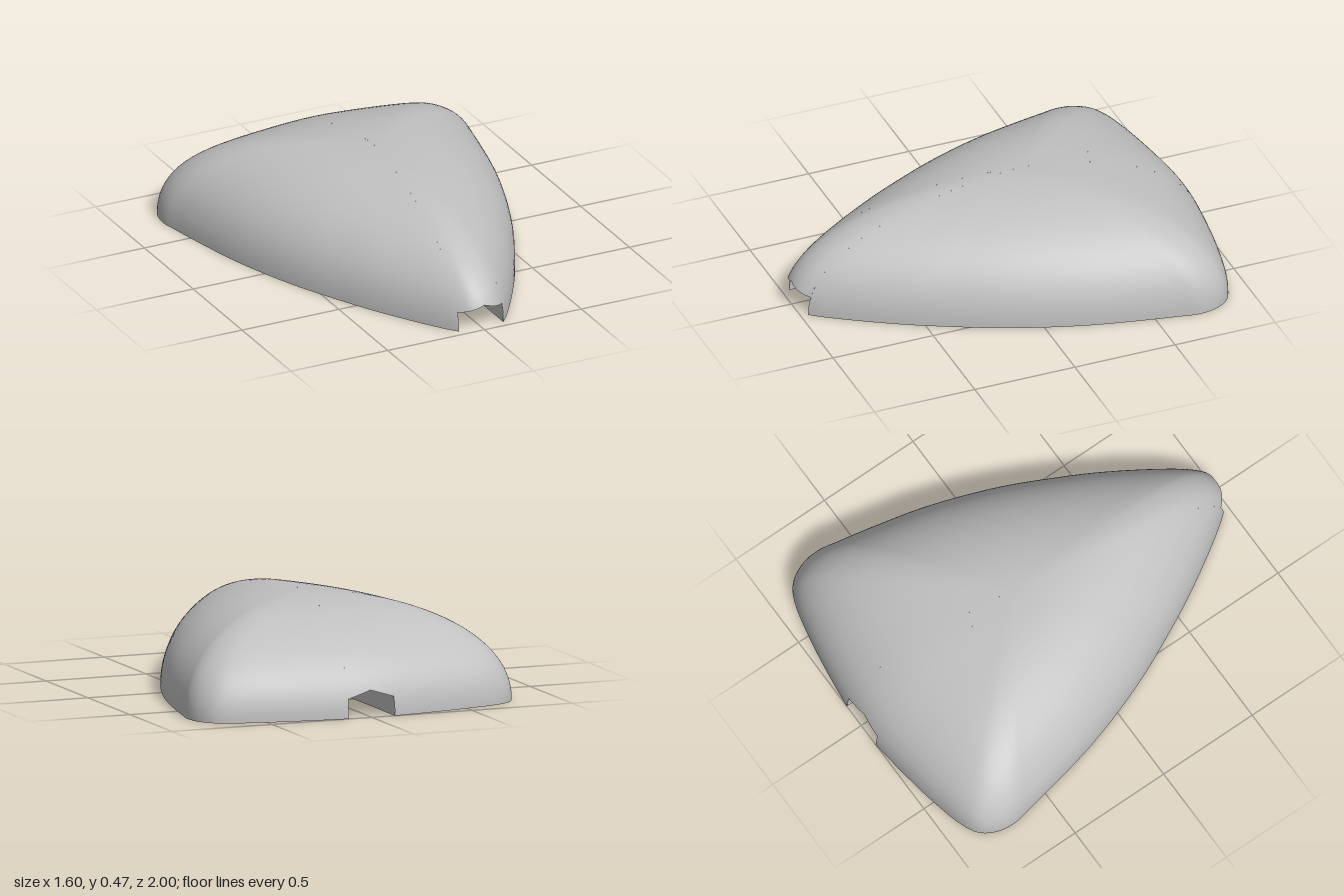
import * as THREE from 'three';

const W = 0.115;            // half width of the strap channel
const EAVE = 0.09, RISE = 0.035;
const H = 0.47, CZ = -0.15; // dome height and apex position
const POW = 2 / 2.2;        // squareness of the dome profile
const SUB = 6, ROWS = 28;

// Half of the plan outline (x, z), from nose to tail; mirrored below
const HALF = [
  [0, 1.03], [0.06, 1.015], [W, 0.965], [0.2, 0.85], [0.355, 0.6], [0.46, 0.4], [0.555, 0.2],
  [0.632, 0], [0.695, -0.2], [0.742, -0.4], [0.782, -0.6], [0.8, -0.71], [0.785, -0.795],
  [0.742, -0.862], [0.67, -0.902], [0.5, -0.945], [0.3, -0.978], [W, -1.0], [0, -1.005],
];

function outline() {
  const mirrored = HALF.slice(1, -1).reverse().map(([x, z]) => [-x, z]);
  const pts = [...HALF, ...mirrored].map(([x, z]) => new THREE.Vector3(x, 0, z));
  const curve = new THREE.CatmullRomCurve3(pts, true);
  const n = pts.length * SUB;
  const ring = Array.from({ length: n }, (_, i) => curve.getPoint(i / n));
  return ring.map((p, i) => {
    const t = ring[(i + 1) % n].clone().sub(ring[(i + n - 1) % n]).normalize();
    return { x: p.x, z: p.z, nx: t.z < 0 || t.z > 0 ? -t.z : 0, nz: t.x };
  });
}

const angleAt = (y) => Math.asin(Math.pow(y / H, 1 / POW));

// Point on the dome above outline point o at profile angle a
function domePoint(o, a) {
  const s = Math.pow(Math.max(Math.cos(a), 0), POW);
  return [o.x * s, H * Math.pow(Math.sin(a), POW), CZ + (o.z - CZ) * s];
}

function domeNormal(o, a) {
  const b = Math.min(Math.max(a, 0.002), Math.PI / 2 - 0.002);
  const dy = H * POW * Math.pow(Math.sin(b), POW - 1) * Math.cos(b);
  const ds = POW * Math.pow(Math.cos(b), POW - 1) * Math.sin(b);
  const d = o.nx * o.x + o.nz * (o.z - CZ);
  return new THREE.Vector3(o.nx * dy, ds * d, o.nz * dy).normalize().toArray();
}

// Dome: scaled outlines, starting higher where the channel mouths open
function domeGeometry(ring) {
  const pos = [], nor = [], idx = [];
  ring.forEach((o, i) => {
    const q = ring[(i + 1) % ring.length];
    const mouth = Math.abs(o.x + q.x) / 2 < W;
    const base = pos.length / 3;
    for (const c of [o, q]) {
      const y0 = mouth ? EAVE + RISE * (1 - Math.min(Math.abs(c.x) / W, 1)) : 0;
      const a0 = angleAt(y0);
      for (let j = 0; j <= ROWS; j++) {
        const a = a0 + (Math.PI / 2 - a0) * j / ROWS;
        pos.push(...domePoint(c, a));
        nor.push(...domeNormal(c, a));
      }
    }
    for (let j = 0; j < ROWS; j++) {
      const l = base + j, r = l + ROWS + 1;
      idx.push(l, r, l + 1, r, r + 1, l + 1);
    }
  });
  const g = new THREE.BufferGeometry();
  g.setAttribute('position', new THREE.Float32BufferAttribute(pos, 3));
  g.setAttribute('normal', new THREE.Float32BufferAttribute(nor, 3));
  g.setIndex(idx);
  return g;
}

// Flat-shaded surface from quads of four corners
function quads(list) {
  const pos = list.flatMap(([a, b, c, d]) => [a, b, c, a, c, d].flat());
  const g = new THREE.BufferGeometry();
  g.setAttribute('position', new THREE.Float32BufferAttribute(pos, 3));
  g.computeVertexNormals();
  return g;
}

export function createModel() {
  const group = new THREE.Group();
  const grey = new THREE.MeshStandardMaterial({ color: 0xc0c0c0, side: THREE.DoubleSide });
  grey.name = 'light grey';
  const add = (name, geometry) => {
    const m = new THREE.Mesh(geometry, grey);
    m.name = name;
    group.add(m);
    return m;
  };

  const ring = outline();
  add('domeShell', domeGeometry(ring));

  // Flat underside with a slot cut in from each end
  const first = 2 * SUB, last = (HALF.length - 2) * SUB, n = ring.length;
  const side = ring.slice(first, last + 1).map((o) => [o.x, o.z]);
  const other = ring.slice(n - last, n - first + 1).map((o) => [o.x, o.z]);
  const BF = 0.27, BT = 0.235, BH = 0.085; // bridge half lengths and height
  const plan = [...side, [W, -BF], [-W, -BF], ...other, [-W, BF], [W, BF]];
  const underside = new THREE.ShapeGeometry(new THREE.Shape(plan.map(([x, z]) => new THREE.Vector2(x, z))));
  add('underside', underside.rotateX(Math.PI / 2));

  // Gabled channel roof, rising over the bridge
  const nose = ring[0], tail = ring[last + SUB];
  const noseEdge = domePoint(ring[first], angleAt(EAVE))[2];
  const tailEdge = domePoint(ring[last], angleAt(EAVE))[2];
  const noseRidge = domePoint(nose, angleAt(EAVE + RISE))[2];
  const tailRidge = domePoint(tail, angleAt(EAVE + RISE))[2];
  const stations = [ // eave z, ridge z, eave height
    [tailEdge, tailRidge, EAVE], [-0.63, -0.63, EAVE], [-0.38, -0.38, 0.24],
    [0.38, 0.38, 0.24], [0.62, 0.62, EAVE], [noseEdge, noseRidge, EAVE],
  ];
  const roof = [];
  for (let i = 0; i < stations.length - 1; i++) {
    const [ez, rz, y] = stations[i], [fz, sz, v] = stations[i + 1];
    roof.push([[W, y, ez], [W, v, fz], [0, v + RISE, sz], [0, y + RISE, rz]]);
    roof.push([[0, y + RISE, rz], [0, v + RISE, sz], [-W, v, fz], [-W, y, ez]]);
  }
  add('channelRoof', quads(roof));

  // Channel side walls, drawn as (z, y) and stood upright
  const wall = [
    [-1.0, 0], [-BF, 0], [-BT, BH], [BT, BH], [BF, 0], [0.965, 0],
    ...stations.map(([z, , y]) => [z, y]).reverse(),
  ];
  const wallShape = new THREE.Shape(wall.map(([z, y]) => new THREE.Vector2(z, y)));
  for (const s of [1, -1]) {
    const g = new THREE.ShapeGeometry(wallShape).rotateY(-Math.PI / 2);
    if (s > 0) add('leftChannelWall', g).position.x = W;
    else add('rightChannelWall', g).position.x = -W;
  }

  // Bridge bar across the channel
  const bar = [[-BF, 0], [-BT, BH], [BT, BH], [BF, 0]];
  add('bridge', quads(bar.slice(1).map(([z, y], i) => {
    const [pz, py] = bar[i];
    return [[W, py, pz], [-W, py, pz], [-W, y, z], [W, y, z]];
  })));

  return group;
}
